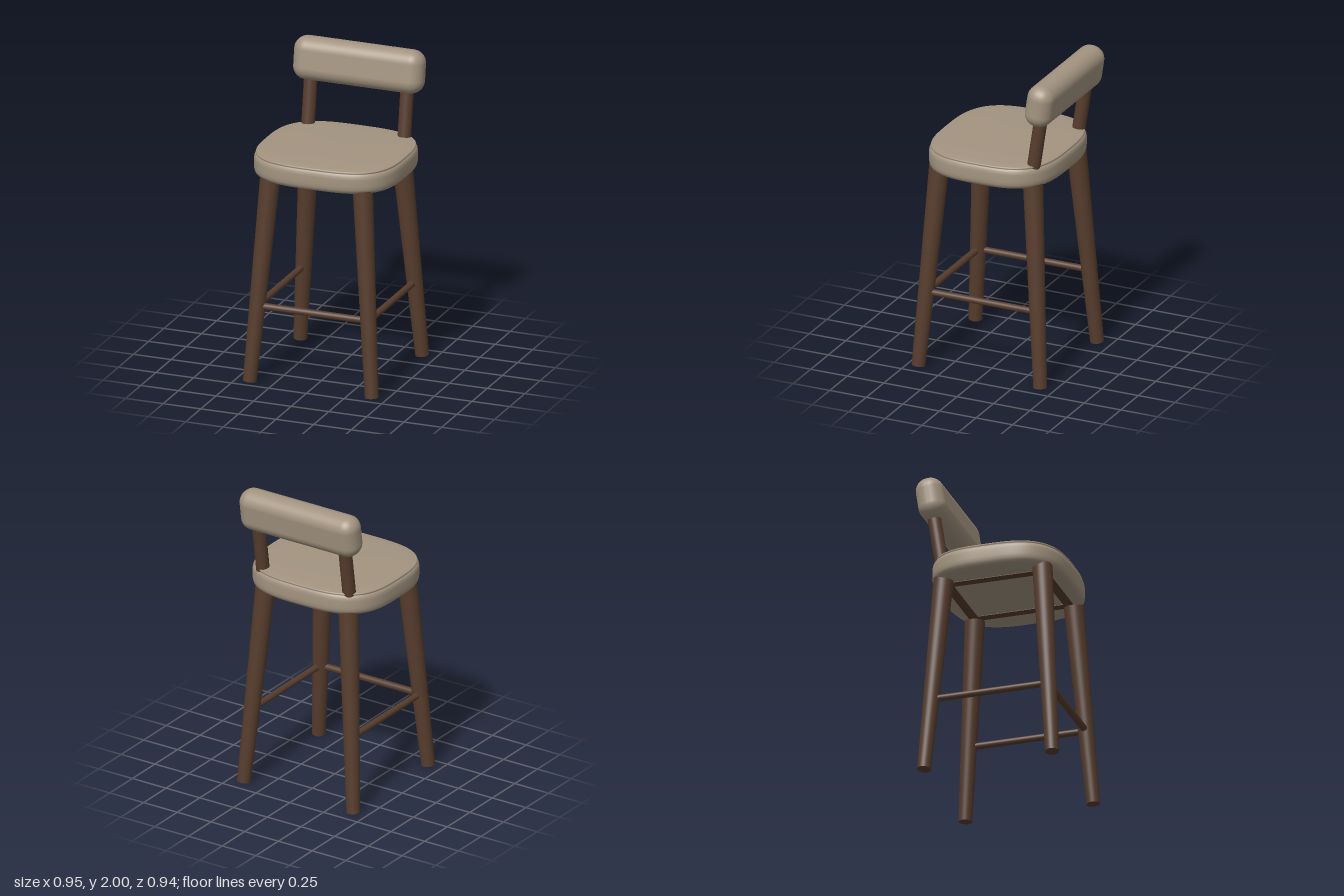
import * as THREE from 'three';
import { RoundedBoxGeometry } from 'three/addons/geometries/RoundedBoxGeometry.js';

const wood = new THREE.MeshStandardMaterial({ color: 0x573d2d });
wood.name = 'dark wood';
const fabric = new THREE.MeshStandardMaterial({ color: 0xa39480 });
fabric.name = 'beige upholstery';

function add(parent, name, geometry, material) {
  const mesh = new THREE.Mesh(geometry, material);
  mesh.name = name;
  parent.add(mesh);
  return mesh;
}

// Round bar between two points, with its own radius at each end
function bar(parent, name, from, to, rFrom, rTo = rFrom) {
  const a = new THREE.Vector3(...from);
  const b = new THREE.Vector3(...to);
  const dir = b.clone().sub(a);
  const mesh = add(parent, name, new THREE.CylinderGeometry(rTo, rFrom, dir.length(), 32), wood);
  mesh.position.copy(a).add(b).multiplyScalar(0.5);
  mesh.quaternion.setFromUnitVectors(new THREE.Vector3(0, 1, 0), dir.normalize());
  return mesh;
}

// Cushion lofted from squarish rings; each profile point is [inset from the rim, height]
function cushionGeometry(halfX, halfZ, power, profile, sides = 96) {
  const positions = [];
  const index = [];
  const bulge = (v) => Math.sign(v) * Math.abs(v) ** (2 / power);
  for (const [inset, y] of profile) {
    const rx = Math.max(halfX - inset, 0);
    const rz = inset >= halfX ? 0 : Math.max(halfZ - inset, 0);
    for (let i = 0; i < sides; i++) {
      const t = (i / sides) * Math.PI * 2;
      positions.push(rx * bulge(Math.cos(t)), y, rz * bulge(Math.sin(t)));
    }
  }
  for (let r = 0; r < profile.length - 1; r++) {
    for (let i = 0; i < sides; i++) {
      const j = (i + 1) % sides;
      const a = r * sides + i, b = r * sides + j;
      const c = a + sides, d = b + sides;
      index.push(a, c, b, b, c, d);
    }
  }
  const geometry = new THREE.BufferGeometry();
  geometry.setAttribute('position', new THREE.Float32BufferAttribute(positions, 3));
  geometry.setIndex(index);
  geometry.computeVertexNormals();
  return geometry;
}

export function createModel() {
  const model = new THREE.Group();
  model.name = 'barStool';

  // Upholstered seat: flat base, rounded side, seam groove and low domed top
  const profile = [
    [0.475, 1.305], [0.06, 1.305], [0.04, 1.306], [0.02, 1.311], [0.008, 1.322], [0.002, 1.338],
    [0, 1.36], [0, 1.405], [0.003, 1.424], [0.009, 1.434], [0.014, 1.437],
    [0.014, 1.441], [0.01, 1.445], [0.012, 1.451], [0.018, 1.454], [0.022, 1.451],
    [0.03, 1.454], [0.06, 1.458], [0.14, 1.461], [0.3, 1.464], [0.475, 1.465],
  ];
  add(model, 'seatCushion', cushionGeometry(0.475, 0.432, 3.1, profile), fabric).position.z = 0.012;

  // Padded backrest, leaning backwards
  const lean = -0.15;
  const rest = add(model, 'backrest', new RoundedBoxGeometry(0.86, 0.275, 0.176, 5, 0.083), fabric);
  rest.position.set(0, 1.863, -0.376);
  rest.rotation.x = lean;

  for (const s of [1, -1]) {
    const side = s > 0 ? 'left' : 'right';
    // Splayed tapered legs
    bar(model, side + 'FrontLeg', [s * 0.405, 0.004, 0.428], [s * 0.308, 1.32, 0.333], 0.043, 0.063);
    bar(model, side + 'BackLeg', [s * 0.405, 0.004, -0.403], [s * 0.308, 1.32, -0.308], 0.043, 0.063);
    // Backrest posts
    bar(model, side + 'BackPost', [s * 0.32, 1.4, -0.313], [s * 0.32, 1.83, -0.378], 0.042);
    // Side footrest rungs
    bar(model, side + 'Rung', [s * 0.37, 0.49, 0.392], [s * 0.37, 0.49, -0.367], 0.021);
    // Side rails under the seat
    add(model, side + 'SeatRail', new THREE.BoxGeometry(0.06, 0.04, 0.56), wood)
      .position.set(s * 0.26, 1.322, 0.012);
  }
  // Front footrest rung
  bar(model, 'frontRung', [-0.37, 0.49, 0.392], [0.37, 0.49, 0.392], 0.022);
  // Front and back rails under the seat
  for (const [name, z] of [['frontSeatRail', 0.32], ['backSeatRail', -0.296]]) {
    add(model, name, new THREE.BoxGeometry(0.58, 0.04, 0.06), wood).position.set(0, 1.322, z);
  }
  return model;
}
